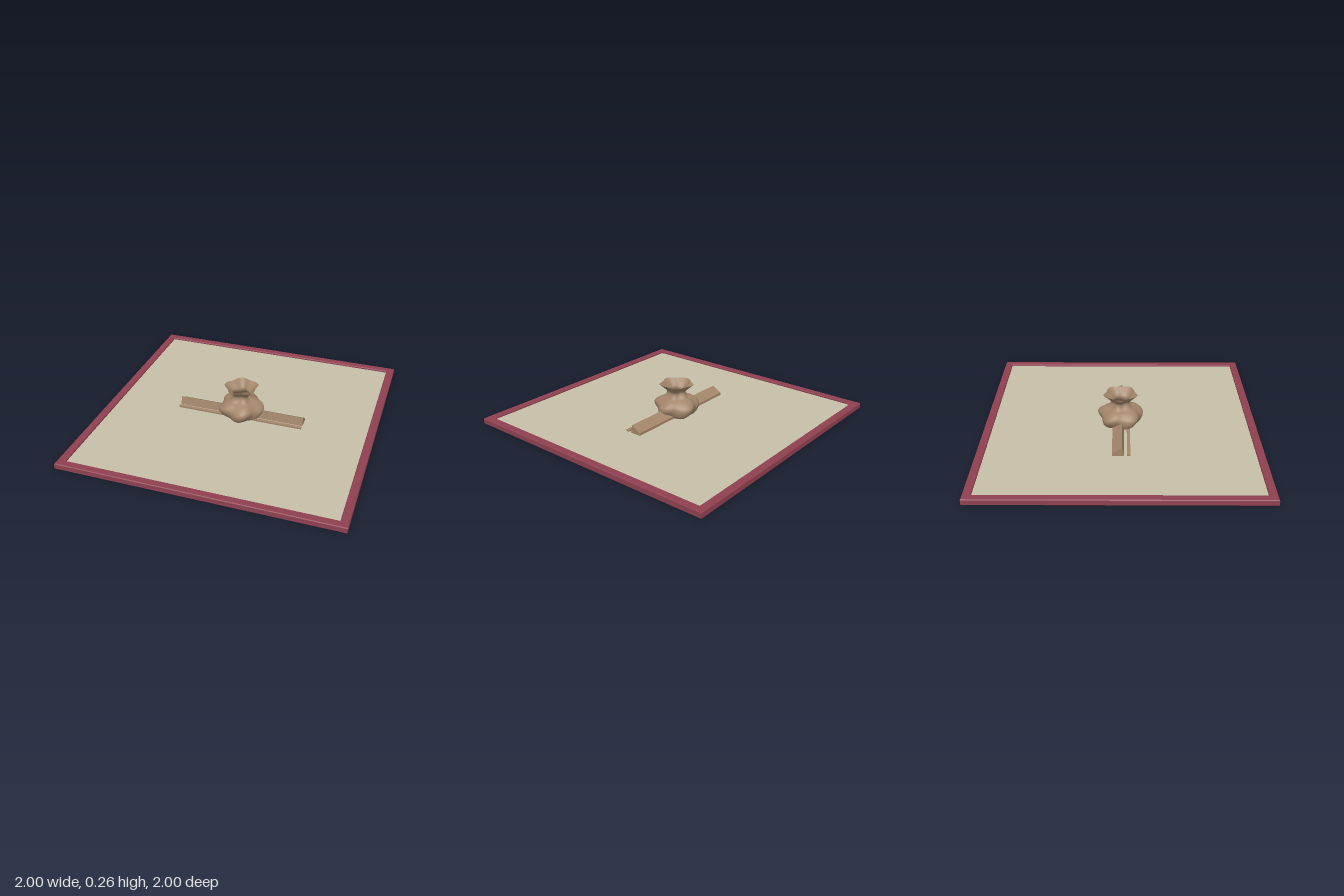
import * as THREE from 'three';

const mat = (name, color, side = THREE.FrontSide) => {
  const m = new THREE.MeshStandardMaterial({ color, side });
  m.name = name;
  return m;
};

export function createModel() {
  const group = new THREE.Group();
  const red = mat('wine red', 0x8f4050);
  const sand = mat('pale sand', 0xc6bfa8);
  const clay = mat('clay brown', 0xa3866a, THREE.DoubleSide);

  const add = (name, geometry, material, x = 0, y = 0, z = 0) => {
    const mesh = new THREE.Mesh(geometry, material);
    mesh.name = name;
    mesh.position.set(x, y, z);
    group.add(mesh);
    return mesh;
  };

  const square = (Type, h) => {
    const s = new Type();
    s.moveTo(-h, -h);
    s.lineTo(h, -h);
    s.lineTo(h, h);
    s.lineTo(-h, h);
    s.closePath();
    return s;
  };

  // Raised border with a small chamfer
  const outline = square(THREE.Shape, 0.995);
  outline.holes.push(square(THREE.Path, 0.948));
  const frame = new THREE.ExtrudeGeometry(outline, {
    depth: 0.035, bevelEnabled: true, bevelThickness: 0.005, bevelSize: 0.005, bevelSegments: 1,
  });
  frame.rotateX(-Math.PI / 2);
  add('frame', frame, red, 0, 0.005, 0);

  // Tray underside and inlaid floor
  add('trayBase', new THREE.BoxGeometry(1.9, 0.024, 1.9), red, 0, 0.014, 0);
  add('trayFloor', new THREE.BoxGeometry(1.9, 0.006, 1.9), sand, 0, 0.028, 0);

  // Card holder bar: sloped back rest, slot and low front lip, on each side of the vase
  const extrudeAlongX = (points, length) => {
    const shape = new THREE.Shape(points.map(([z, y]) => new THREE.Vector2(-z, y)));
    const g = new THREE.ExtrudeGeometry(shape, { depth: length, bevelEnabled: false });
    g.translate(0, 0, -length / 2);
    return g.rotateY(Math.PI / 2);
  };
  const rest = [[-0.058, 0.02], [0.028, 0.02], [0.012, 0.093], [-0.058, 0.05]];
  const lip = [[0.046, 0.02], [0.07, 0.02], [0.07, 0.042], [0.046, 0.042]];
  for (const side of [-1, 1]) {
    add('holderRest', extrudeAlongX(rest, 0.385), clay, side * 0.2825);
    add('holderLip', extrudeAlongX(lip, 0.385), clay, side * 0.2825);
  }
  add('holderFoot', new THREE.BoxGeometry(0.95, 0.008, 0.125), clay, 0, 0.004, 0.008);

  // Vase: five soft lobes that twist by half a lobe from belly to rim
  const profile = new THREE.SplineCurve([
    [0.118, 0.028], [0.14, 0.05], [0.157, 0.085], [0.154, 0.115], [0.125, 0.145],
    [0.085, 0.167], [0.066, 0.195], [0.073, 0.22], [0.118, 0.265],
  ].map(([r, y]) => new THREE.Vector2(r, y))).getPoints(40);
  const vase = new THREE.LatheGeometry(profile, 60);
  const pos = vase.attributes.position;
  for (let i = 0; i < pos.count; i++) {
    const x = pos.getX(i), y = pos.getY(i), z = pos.getZ(i);
    const twist = Math.PI * (y - 0.095) / 0.17;
    const scale = 1 + 0.09 * Math.cos(5 * Math.atan2(z, x) + twist);
    pos.setXYZ(i, x * scale, y, z * scale);
  }
  vase.computeVertexNormals();
  add('vase', vase, clay);

  return group;
}
